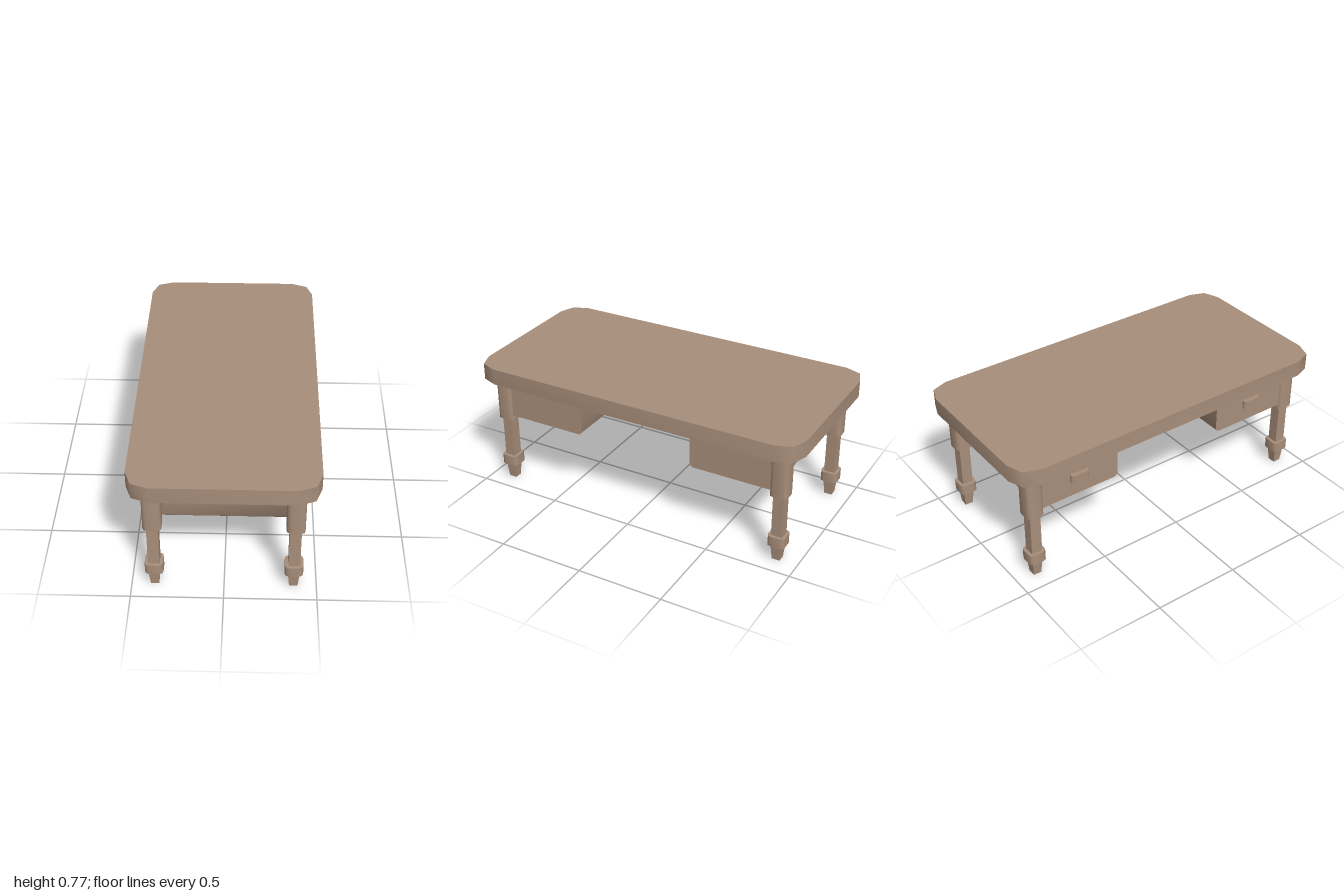
import * as THREE from 'three';
import { toCreasedNormals } from 'three/addons/utils/BufferGeometryUtils.js';

const wood = new THREE.MeshStandardMaterial({ color: 0xa88e7a });
wood.name = 'wood';

// Rectangle outline with every corner cut into two facets
function softRect(w, d, corner) {
  const a = w / 2, b = d / 2, i = corner * 0.27;
  const quarter = [[a, b - corner], [a - i, b - i], [a - corner, b]];
  const mirrored = (sx, sy) => quarter.map(([x, y]) => new THREE.Vector2(x * sx, y * sy));
  return new THREE.Shape([
    ...mirrored(1, 1), ...mirrored(-1, 1).reverse(),
    ...mirrored(-1, -1), ...mirrored(1, -1).reverse(),
  ]);
}

// Upright prism from y0 to y1 with smoothly shaded corners
function softPrism(w, d, corner, y0, y1) {
  const geo = new THREE.ExtrudeGeometry(softRect(w, d, corner), { depth: y1 - y0, bevelEnabled: false });
  geo.rotateX(-Math.PI / 2).translate(0, y0, 0);
  return toCreasedNormals(geo, Math.PI / 3);
}

function add(parent, name, geometry) {
  const mesh = new THREE.Mesh(geometry, wood);
  mesh.name = name;
  parent.add(mesh);
  return mesh;
}

function createLeg() {
  const leg = new THREE.Group();
  leg.name = 'leg';
  add(leg, 'legBlock', softPrism(0.1, 0.1, 0.023, 0.41, 0.68));
  add(leg, 'legPost', new THREE.BoxGeometry(0.063, 0.26, 0.063).translate(0, 0.285, 0));
  add(leg, 'legCollar', softPrism(0.1, 0.1, 0.023, 0.096, 0.158));
  // Square tapered foot
  const foot = new THREE.CylinderGeometry(0.032 * Math.SQRT2, 0.023 * Math.SQRT2, 0.1, 4).toNonIndexed();
  foot.rotateY(Math.PI / 4).translate(0, 0.05, 0);
  foot.computeVertexNormals();
  add(leg, 'foot', foot);
  return leg;
}

function createDrawer() {
  const drawer = new THREE.Group();
  drawer.name = 'drawer';
  // Cross-section with bevelled lower edges, run across the table
  const c = 0.017, h = 0.25, y0 = 0.44, y1 = 0.68;
  const section = new THREE.Shape([
    [-h + c, y0], [h - c, y0], [h, y0 + c], [h, y1], [-h, y1], [-h, y0 + c],
  ].map(([x, y]) => new THREE.Vector2(x, y)));
  const body = new THREE.ExtrudeGeometry(section, { depth: 0.82, bevelEnabled: false });
  body.translate(0, 0, -0.41).rotateY(Math.PI / 2);
  add(drawer, 'drawerBody', toCreasedNormals(body, Math.PI / 3.5));

  // Pull with bevelled ends on the right side
  const pull = new THREE.Shape([
    [-0.4, -0.055], [-0.4, 0.055], [-0.424, 0.055], [-0.435, 0.044], [-0.435, -0.044], [-0.424, -0.055],
  ].map(([x, y]) => new THREE.Vector2(x, y)));
  const pullGeo = new THREE.ExtrudeGeometry(pull, { depth: 0.05, bevelEnabled: false });
  pullGeo.rotateX(-Math.PI / 2).translate(0, 0.53, 0);
  add(drawer, 'drawerPull', pullGeo);
  return drawer;
}

export function createModel() {
  const table = new THREE.Group();
  table.name = 'table';
  add(table, 'tableTop', softPrism(1, 2, 0.126, 0.673, 0.769));

  for (const sz of [-1, 1]) {
    for (const sx of [-1, 1]) {
      const leg = createLeg();
      leg.position.set(sx * 0.375, 0, sz * 0.875);
      table.add(leg);
    }
    const drawer = createDrawer();
    drawer.position.z = sz * 0.597;
    table.add(drawer);
  }
  return table;
}
